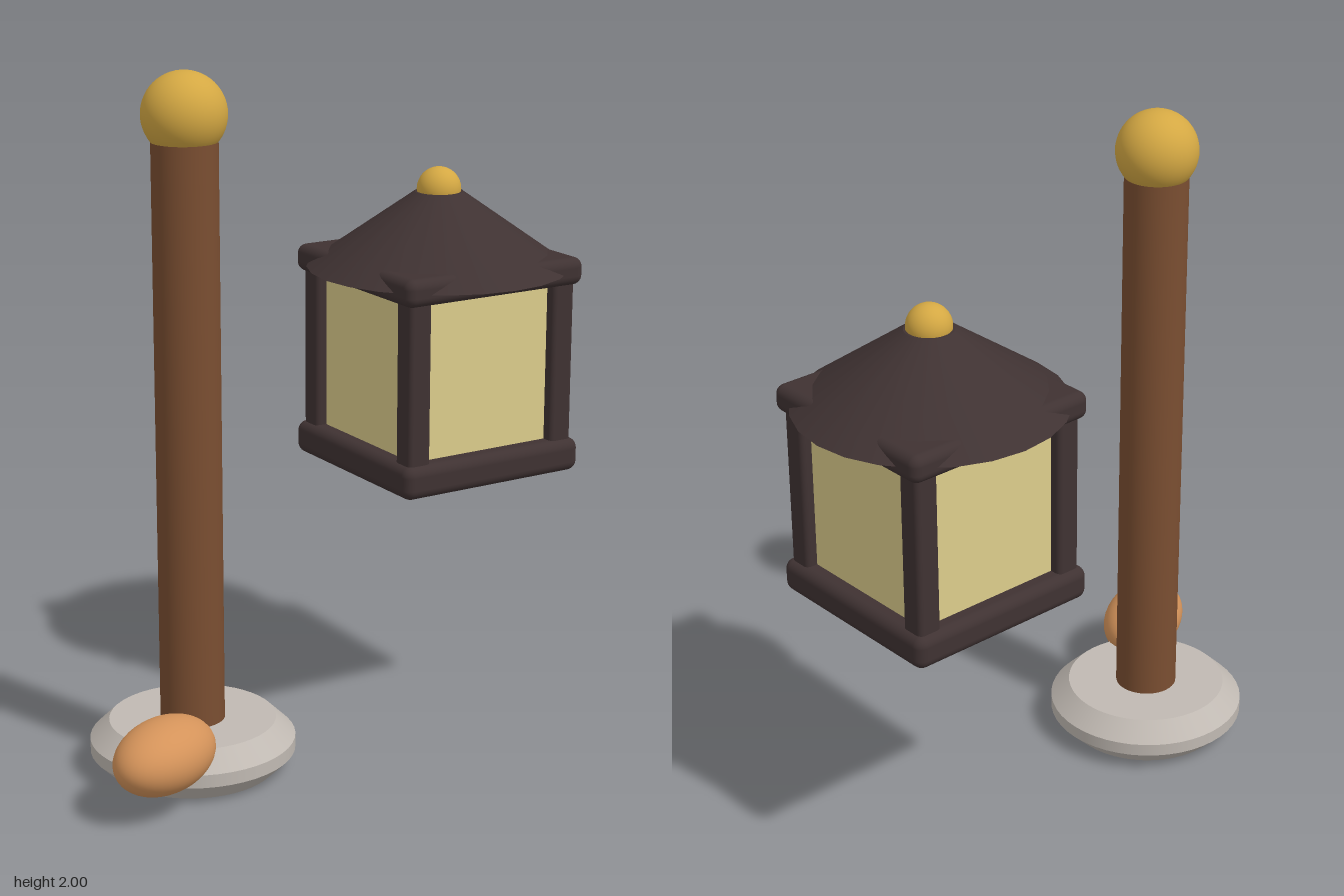
import * as THREE from 'three';
import { RoundedBoxGeometry } from 'three/addons/geometries/RoundedBoxGeometry.js';

const material = (name, color) => {
  const m = new THREE.MeshStandardMaterial({ color });
  m.name = name;
  return m;
};

export function createModel() {
  const gold = material('gold', 0xd4a843);
  const wood = material('wood', 0x7a4e31);
  const darkFrame = material('dark frame', 0x3f3232);
  const paper = material('paper', 0xdccd8c);
  const stone = material('stone', 0xc0b9b2);
  const tan = material('tan', 0xd4935a);

  const add = (parent, name, geometry, mat, x, y, z) => {
    const mesh = new THREE.Mesh(geometry, mat);
    mesh.name = name;
    mesh.position.set(x, y, z);
    parent.add(mesh);
    return mesh;
  };

  const model = new THREE.Group();
  model.name = 'lanternAndPost';

  // Post with bevelled base and ball finial
  const post = new THREE.Group();
  post.name = 'post';
  post.position.x = -0.415;
  model.add(post);

  // Base: bevel, rim, bevel as [bottom radius, top radius, bottom y, top y]
  const tiers = [[0.237, 0.294, 0, 0.056], [0.294, 0.294, 0.056, 0.094], [0.294, 0.239, 0.094, 0.148]];
  tiers.forEach(([r0, r1, y0, y1], i) => {
    const open = i === 1;
    add(post, 'baseTier', new THREE.CylinderGeometry(r1, r0, y1 - y0, 48, 1, open), stone, 0, (y0 + y1) / 2, 0);
  });
  add(post, 'pole', new THREE.CylinderGeometry(0.092, 0.092, 1.7, 40), wood, 0, 0.97, 0);
  add(post, 'poleFinial', new THREE.SphereGeometry(0.118, 40, 28), gold, 0, 1.882, 0);

  // Egg-shaped stone lying against the base
  const pebble = add(model, 'pebble', new THREE.SphereGeometry(1, 40, 28), tan, -0.637, 0.17, 0.243);
  pebble.scale.set(0.178, 0.102, 0.118);
  pebble.rotation.y = 0.45;

  // Lantern
  const lantern = new THREE.Group();
  lantern.name = 'lantern';
  lantern.position.x = 0.415;
  model.add(lantern);

  add(lantern, 'bottomFrame', new RoundedBoxGeometry(0.606, 0.098, 0.606, 4, 0.03), darkFrame, 0, 0.829, 0);
  add(lantern, 'topFrame', new RoundedBoxGeometry(0.606, 0.08, 0.606, 4, 0.028), darkFrame, 0, 1.376, 0);
  add(lantern, 'paperShade', new THREE.BoxGeometry(0.5, 0.49, 0.5), paper, 0, 1.108, 0);
  for (const sx of [-1, 1]) {
    for (const sz of [-1, 1]) {
      add(lantern, 'cornerPost', new RoundedBoxGeometry(0.074, 0.53, 0.074, 3, 0.015), darkFrame, sx * 0.246, 1.108, sz * 0.246);
    }
  }
  add(lantern, 'roof', new THREE.CylinderGeometry(0.07, 0.382, 0.219, 24), darkFrame, 0, 1.4805, 0);
  add(lantern, 'roofFinial', new THREE.SphereGeometry(0.064, 32, 24), gold, 0, 1.597, 0);

  return model;
}
